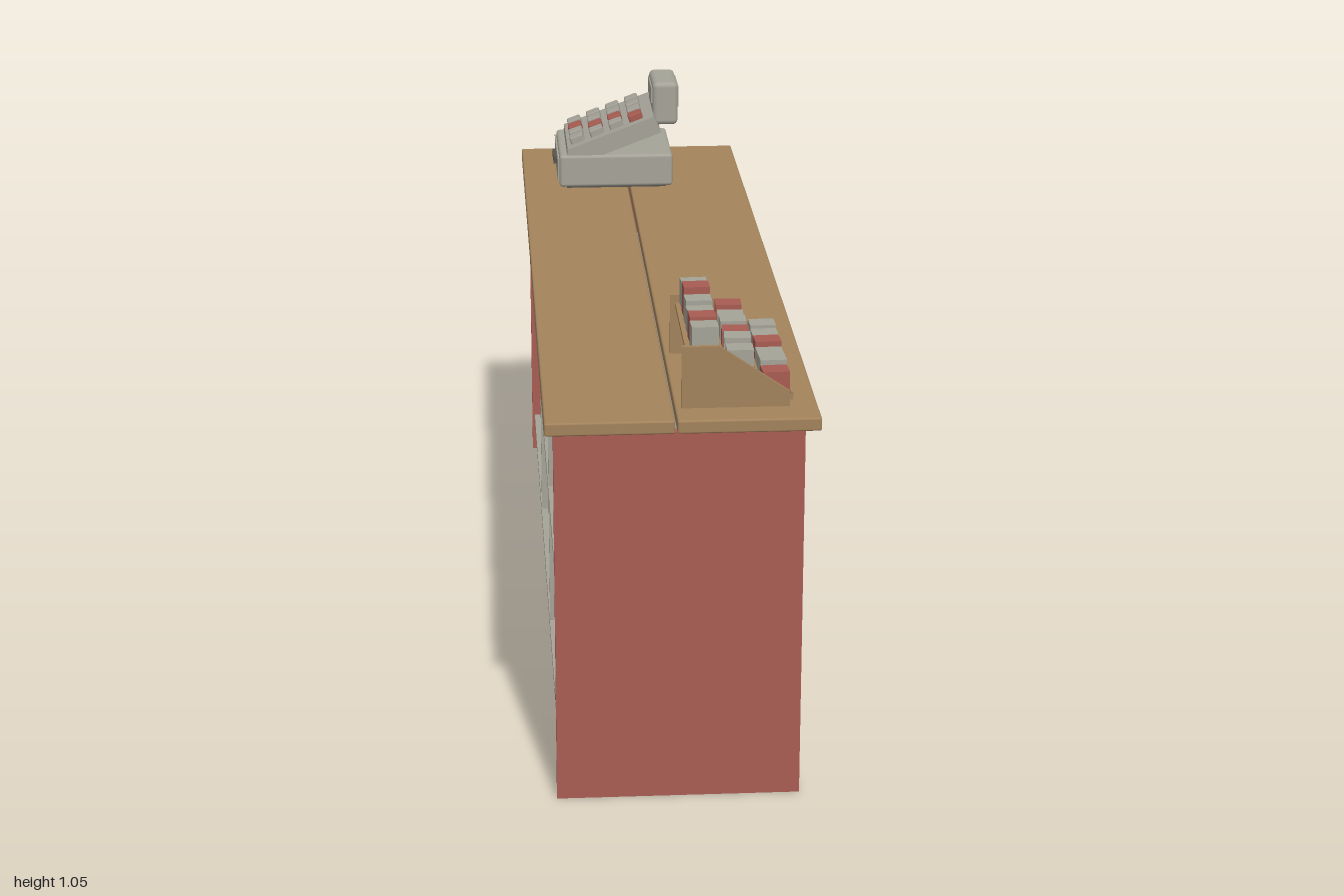
import * as THREE from 'three';
import { RoundedBoxGeometry } from 'three/addons/geometries/RoundedBoxGeometry.js';

const mat = (name, color) => {
  const m = new THREE.MeshStandardMaterial({ color });
  m.name = name;
  return m;
};

export function createModel() {
  const red = mat('red paint', 0xa85c52);
  const wood = mat('brown wood', 0xa3835c);
  const grey = mat('warm grey', 0xa5a398);
  const dark = mat('dark grey', 0x55544e);

  const model = new THREE.Group();
  model.name = 'shopCounter';

  const group = (name) => {
    const g = new THREE.Group();
    g.name = name;
    model.add(g);
    return g;
  };
  const add = (parent, name, geo, material) => {
    const m = new THREE.Mesh(geo, material);
    m.name = name;
    parent.add(m);
    return m;
  };
  // box given by its extents on each axis, with optional rounded edges
  const box = (parent, name, material, [x0, x1], [y0, y1], [z0, z1], r = 0) => {
    const s = [x1 - x0, y1 - y0, z1 - z0];
    const geo = r ? new RoundedBoxGeometry(...s, 2, r) : new THREE.BoxGeometry(...s);
    const m = add(parent, name, geo, material);
    m.position.set((x0 + x1) / 2, (y0 + y1) / 2, (z0 + z1) / 2);
    return m;
  };
  // side profile in x and y, extruded along z
  const profile = (parent, name, material, pts, z0, z1) => {
    const shape = new THREE.Shape(pts.map((p) => new THREE.Vector2(...p)));
    const geo = new THREE.ExtrudeGeometry(shape, { depth: z1 - z0, bevelEnabled: false });
    geo.translate(0, 0, z0);
    return add(parent, name, geo, material);
  };

  // worktop of two boards with a narrow joint
  const top = group('worktop');
  box(top, 'rearBoard', wood, [-0.267, -0.017], [0.776, 0.803], [-1, 1], 0.004);
  box(top, 'frontBoard', wood, [-0.012, 0.265], [0.776, 0.803], [-1, 1], 0.004);

  // cabinet ends and plinth
  const cabinet = group('cabinet');
  for (const s of [-1, 1]) {
    const z = [s * 0.988, s * 0.968].sort((a, b) => a - b);
    box(cabinet, 'endPanel', red, [-0.25, 0.235], [0, 0.776], z);
  }
  box(cabinet, 'plinth', red, [0.212, 0.23], [0, 0.078], [-0.968, 0.968]);

  // four framed panels along the customer side
  for (let i = 0; i < 4; i++) {
    const z0 = -0.976 + i * 0.488 + 0.002, z1 = z0 + 0.484;
    const p = group('framedPanel');
    const w = 0.056, X = [0.205, 0.227];
    box(p, 'stile', red, X, [0.082, 0.775], [z0, z0 + w]);
    box(p, 'stile', red, X, [0.082, 0.775], [z1 - w, z1]);
    box(p, 'bottomRail', red, X, [0.082, 0.137], [z0 + w, z1 - w]);
    box(p, 'topRail', red, X, [0.72, 0.775], [z0 + w, z1 - w]);
    box(p, 'recessedPanel', red, [0.205, 0.216], [0.137, 0.72], [z0 + w, z1 - w]);
  }

  // open shelving on the staff side
  const shelves = group('shelving');
  for (const y of [0.078, 0.394]) {
    box(shelves, 'shelf', grey, [-0.244, 0.205], [y, y + 0.016], [-0.968, 0.968]);
  }
  for (const z of [-0.325, 0.325]) {
    box(shelves, 'divider', grey, [-0.243, 0.205], [0.094, 0.776], [z - 0.008, z + 0.008]);
  }

  // goods on the shelves
  const goods = group('storedGoods');
  const roll = add(goods, 'paperRoll', new THREE.CylinderGeometry(0.055, 0.055, 0.25, 24), grey);
  roll.rotation.x = Math.PI / 2;
  roll.position.set(-0.13, 0.465, -0.67);
  const core = add(goods, 'rollCore', new THREE.CylinderGeometry(0.018, 0.018, 0.254, 16), dark);
  core.rotation.x = Math.PI / 2;
  core.position.copy(roll.position);
  box(goods, 'cashBox', grey, [-0.167, 0.03], [0.41, 0.5], [-0.087, 0.095], 0.008);
  box(goods, 'cashBoxHandle', dark, [-0.105, -0.085], [0.5, 0.508], [-0.04, 0.04]);
  box(goods, 'lowerBook', grey, [-0.193, 0], [0.094, 0.144], [0.52, 0.74], 0.004);
  const book = box(goods, 'upperBook', grey, [-0.185, -0.02], [0.144, 0.182], [0.53, 0.72], 0.004);
  book.rotation.y = 0.12;

  // cash register
  const register = group('cashRegister');
  box(register, 'registerBase', grey, [-0.183, 0.09], [0.808, 0.887], [-0.87, -0.615], 0.008);
  box(register, 'registerFoot', dark, [-0.165, 0.075], [0.802, 0.81], [-0.855, -0.63]);
  box(register, 'drawerFront', grey, [-0.187, -0.18], [0.82, 0.876], [-0.858, -0.627]);
  box(register, 'drawerHandle', dark, [-0.195, -0.186], [0.844, 0.86], [-0.785, -0.705]);
  const knob = add(register, 'lockKnob', new THREE.CylinderGeometry(0.013, 0.013, 0.02, 20), grey);
  knob.rotation.x = Math.PI / 2;
  knob.position.set(-0.05, 0.852, -0.876);
  profile(register, 'keyboardSlab', grey,
    [[-0.165, 0.882], [-0.09, 0.882], [0.062, 0.94], [0.045, 0.979], [-0.163, 0.901]], -0.865, -0.62);
  box(register, 'displayHead', grey, [0.045, 0.106], [0.945, 1.05], [-0.818, -0.668], 0.012);
  box(register, 'displayWindow', grey, [0.104, 0.109], [0.988, 1.036], [-0.805, -0.681]);
  box(register, 'displayWindow', grey, [0.042, 0.047], [0.998, 1.036], [-0.805, -0.681]);

  // sloping 4 by 4 keys
  const slope = Math.atan2(0.078, 0.208);
  const redKeys = ['1,0', '2,1', '2,2', '3,3'];
  for (let row = 0; row < 4; row++) {
    for (let col = 0; col < 4; col++) {
      const x = -0.138 + col * 0.047;
      const key = add(register, 'key', new RoundedBoxGeometry(0.034, 0.024, 0.036, 1, 0.004),
        redKeys.includes(`${row},${col}`) ? red : grey);
      key.position.set(x, 0.901 + (x + 0.163) * 0.375 + 0.005, -0.825 + row * 0.053);
      key.rotation.z = slope;
    }
  }

  // stepped display rack
  const rack = group('displayRack');
  const side = [[0, 0.803], [0.21, 0.803], [0.21, 0.833], [0.072, 0.928], [0, 0.928]];
  for (const z of [0.598, 0.922]) profile(rack, 'rackSide', wood, side, z, z + 0.009);

  // three tiers of small packs, back tier highest
  const redPack = [1, 0, 2, 1, 0, 2];
  const sway = [0.004, -0.003, 0.002, -0.004, 0.003, 0];
  for (let t = 0; t < 3; t++) {
    const x = 0.046 + t * 0.069, y = 0.912 - t * 0.045;
    box(rack, 'tierBoard', wood, [x - 0.036, x + 0.03], [y - 0.008, y], [0.606, 0.923]);
    box(rack, 'tierLip', wood, [x + 0.028, x + 0.033], [y - 0.008, y + 0.008], [0.606, 0.923]);
    for (let i = 0; i < 6; i++) {
      const h = 0.05 + sway[(i + t * 2) % 6] + (t === 0 && i === 1 ? 0.016 : 0);
      const pack = add(rack, 'pack', new THREE.BoxGeometry(0.052, h, 0.042),
        redPack[i] === t ? red : grey);
      pack.position.set(x, y + h / 2, 0.632 + i * 0.0525);
      pack.rotation.y = sway[(i * 2 + t) % 6] * 15;
    }
  }
  return model;
}
